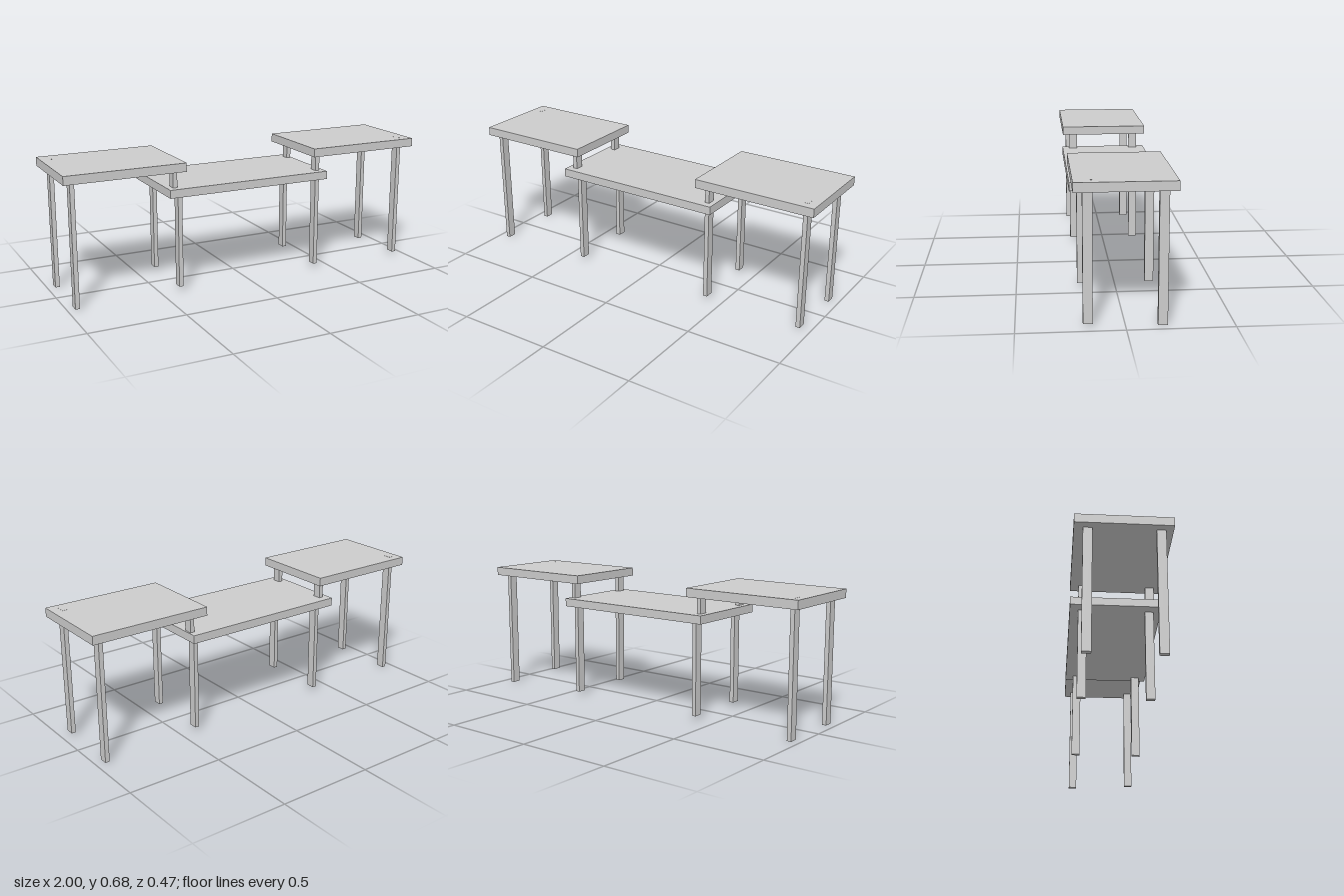
import * as THREE from 'three';

const material = new THREE.MeshStandardMaterial({ color: 0xcccccc });

// Box given by its extents along each axis
function slab(name, [x0, x1], [y0, y1], [z0, z1]) {
  const mesh = new THREE.Mesh(new THREE.BoxGeometry(x1 - x0, y1 - y0, z1 - z0), material);
  mesh.position.set((x0 + x1) / 2, (y0 + y1) / 2, (z0 + z1) / 2);
  mesh.name = name;
  return mesh;
}

// Flat rectangular post centred on x and z
function post(name, x, z, bottom, top) {
  const w = 0.0115, d = 0.0225;
  return slab(name, [x - w, x + w], [bottom, top], [z - d, z + d]);
}

export function createModel() {
  const model = new THREE.Group();
  model.name = 'steppedTable';
  const front = 0.171, back = -0.171;

  // Two raised end tops overlapping a lower centre top
  model.add(
    slab('rightTop', [-1, -0.37], [0.638, 0.683], [-0.236, 0.23]),
    slab('leftTop', [0.365, 1], [0.638, 0.683], [-0.23, 0.236]),
    slab('centreTop', [-0.46, 0.45], [0.51, 0.553], [-0.236, 0.231])
  );

  // Tall outer legs; one per end passes just through its top
  model.add(
    post('rightFrontLeg', -0.948, front + 0.001, 0, 0.66),
    post('rightBackLeg', -0.948, back, 0, 0.6835),
    post('leftFrontLeg', 0.941, front, 0.016, 0.6835),
    post('leftBackLeg', 0.941, back, 0, 0.66)
  );

  // Inner legs under the centre top, and short spacers between the levels
  for (const [side, z] of [['Front', front], ['Back', back]]) {
    model.add(
      post(`rightInner${side}Leg`, -0.392, z, 0.025, 0.53),
      post(`leftInner${side}Leg`, 0.411, z, 0.025, 0.53),
      post(`right${side}Spacer`, -0.418, z, 0.53, 0.66),
      post(`left${side}Spacer`, side === 'Front' ? 0.411 : 0.43, z, 0.53, 0.66)
    );
  }
  return model;
}
